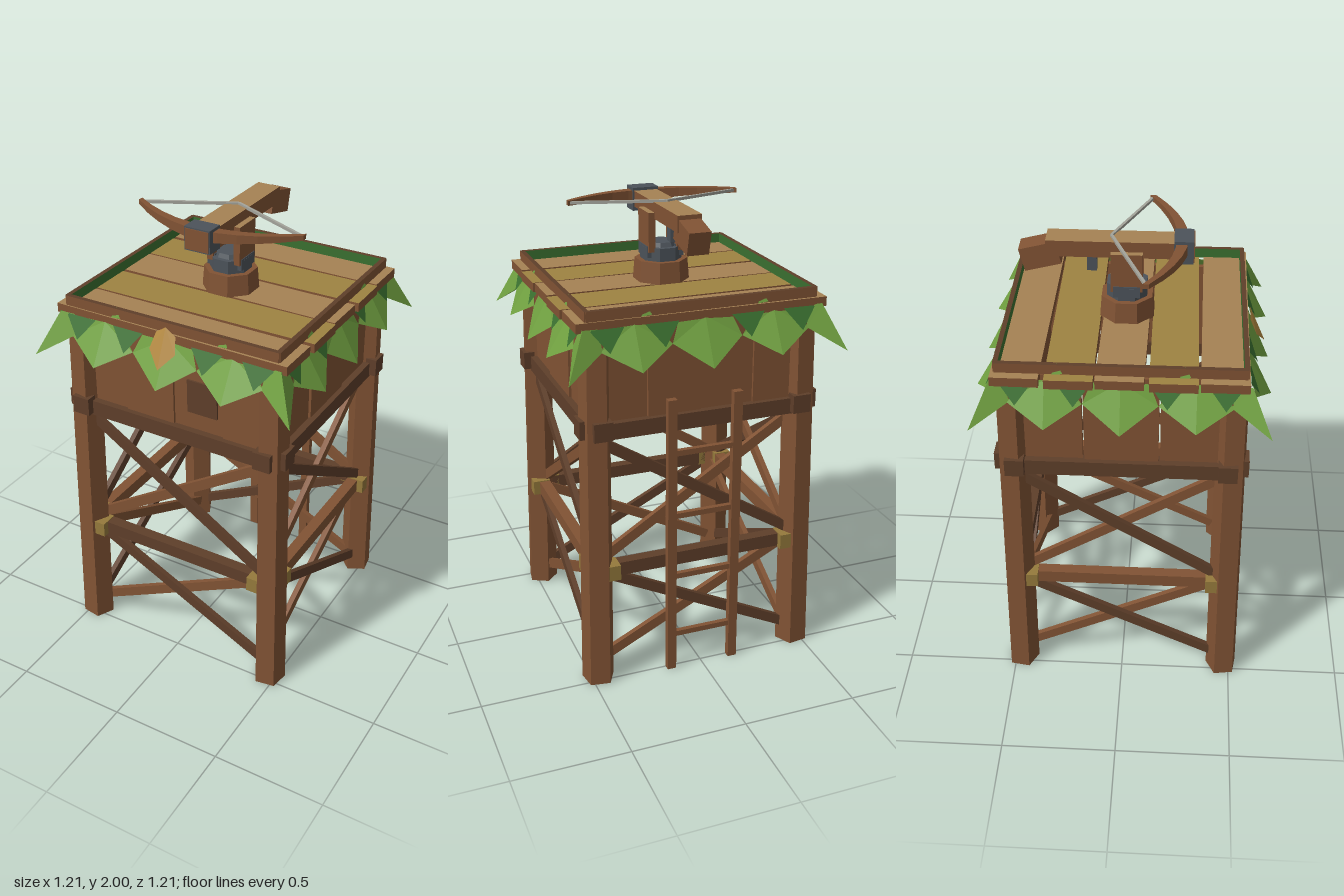
import * as THREE from 'three';

const paint = (name, color, side = THREE.FrontSide) => {
  const m = new THREE.MeshStandardMaterial({ color, flatShading: true, side });
  m.name = name;
  return m;
};
const wood = paint('brown wood', 0x815334);
const dark = paint('dark wood', 0x5f3f2a);
const tan = paint('tan plank', 0xa68254);
const gold = paint('golden plank', 0x9e8342);
const metal = paint('dark metal', 0x4c535a);
const rope = paint('rope', 0x957a3c);
const cord = paint('bow string', 0xa3a39a);
const green = paint('leaf green', 0x70a040, THREE.DoubleSide);
const deep = paint('deep green', 0x3a7030, THREE.DoubleSide);
const amber = paint('amber leaf', 0xb28840, THREE.DoubleSide);

function add(parent, name, geo, mat, x = 0, y = 0, z = 0) {
  const m = new THREE.Mesh(geo, mat);
  m.name = name;
  m.position.set(x, y, z);
  parent.add(m);
  return m;
}
const box = (parent, name, mat, w, h, d, x, y, z) =>
  add(parent, name, new THREE.BoxGeometry(w, h, d), mat, x, y, z);

// Board with a different colour on its upper face
const topped = (top) => [wood, wood, top, wood, wood, wood];

// Square bar running between two points
function bar(parent, name, mat, a, b, w, h) {
  const p = new THREE.Vector3(...a), q = new THREE.Vector3(...b);
  const m = new THREE.Mesh(new THREE.BoxGeometry(w, h, p.distanceTo(q)), mat);
  m.name = name;
  m.position.copy(p).add(q).multiplyScalar(0.5);
  m.lookAt(q); // aimed before it joins its rotated parent
  parent.add(m);
}

// Faceted sheet from a list of corner points, three per triangle
function sheet(parent, name, mat, pts) {
  const g = new THREE.BufferGeometry();
  g.setAttribute('position', new THREE.Float32BufferAttribute(pts.flat(), 3));
  g.computeVertexNormals();
  add(parent, name, g, mat);
}

// Folded leaf: a central ridge with a shoulder and a side corner on each half
function leaf(parent, name, mat, top, tip, left, right) {
  const pts = [];
  for (const [shoulder, side] of [left, right]) pts.push(top, shoulder, side, top, side, tip);
  sheet(parent, name, mat, pts);
}

// Five-sided leg with one edge on the outer diagonal, leaning slightly inwards
function leg(parent, sx, sz) {
  const g = new THREE.CylinderGeometry(0.067, 0.073, 1.6, 5);
  g.rotateY(Math.atan2(sx, sz)).translate(0, 0.8, 0);
  const p = g.attributes.position;
  for (let i = 0; i < p.count; i++) {
    const lean = 0.468 - 0.02 * p.getY(i) / 1.6;
    p.setX(i, p.getX(i) + sx * lean);
    p.setZ(i, p.getZ(i) + sz * lean);
  }
  g.computeVertexNormals();
  add(parent, 'leg', g, wood);
}

// One side of the tower, built facing +z
function towerSide(k) {
  const s = new THREE.Group();
  s.name = 'towerSide';
  s.rotation.y = k * Math.PI / 2;
  const even = k % 2 === 0;

  // Beams, corner blocks, rope lashings and crossed braces
  const midY = even ? 0.53 : 0.54;
  box(s, 'upperBeam', dark, 0.98, 0.07, 0.06, 0, 1.172, 0.465);
  box(s, 'middleBeam', even ? dark : wood, 0.86, 0.06, 0.05, 0, midY, 0.46);
  for (const x of [-0.44, 0.44]) box(s, 'cornerBlock', dark, 0.08, 0.08, 0.05, x, 1.187, 0.502);
  for (const x of [-0.405, 0.405]) box(s, 'lashing', rope, 0.065, 0.068, 0.08, x, midY, 0.475);
  for (const [y0, y1] of [[0.09, 0.51], [0.58, 1.11]]) {
    bar(s, 'brace', wood, [-0.42, y0, 0.437], [0.42, y1, 0.437], 0.024, 0.045);
    bar(s, 'brace', dark, [-0.42, y1, 0.463], [0.42, y0, 0.463], 0.024, 0.045);
  }

  // Cabin wall boards
  const n = even ? 4 : 3, pitch = even ? 0.233 : 0.312;
  for (let i = 0; i < n; i++) {
    box(s, 'wallBoard', wood, pitch - (even ? 0.002 : 0.007), 0.42, 0.025,
      (i - (n - 1) / 2) * pitch, 1.405, 0.452 + (i % 2) * 0.008);
  }

  // Leaf fringe
  for (const x of [-0.3, 0, 0.3]) {
    const w = x ? 0.075 : 0.115;
    leaf(s, 'fringeLeaf', green, [x, 1.62, 0.505], [x, x ? 1.45 : 1.43, 0.605],
      [[x - w, 1.615, 0.505], [x - 0.15, 1.53, 0.533]], [[x + w, 1.615, 0.505], [x + 0.15, 1.53, 0.533]]);
  }
  leaf(s, 'cornerLeaf', green, [0.515, 1.62, 0.515], [0.6, 1.43, 0.6],
    [[0.45, 1.615, 0.505], [0.44, 1.53, 0.533]], [[0.505, 1.615, 0.45], [0.533, 1.53, 0.44]]);
  for (const x of [-0.415, -0.185, 0.185, 0.415]) {
    sheet(s, 'underLeaf', deep, [[x - 0.072, 1.615, 0.51], [x, 1.525, 0.55], [x + 0.072, 1.615, 0.51]]);
  }
  // Sprigs poking over the rail
  for (const x of [-0.25, 0.25]) {
    sheet(s, 'sprig', green, [[x - 0.02, 1.645, 0.502], [x + 0.025, 1.65, 0.505], [x, 1.69, 0.49]]);
  }
  // Rail around the deck, mossy on the inside
  box(s, 'rail', [wood, wood, dark, wood, wood, deep], 0.99, 0.045, 0.02, 0, 1.665, 0.49);
  return s;
}

// Plank deck with alternating colours
function deck() {
  const g = new THREE.Group();
  g.name = 'deck';
  [-0.412, -0.205, 0, 0.205, 0.412].forEach((z, i) => {
    const b = box(g, 'deckPlank', topped(i % 2 ? gold : tan), i % 2 ? 1.09 : 1.075, 0.04, 0.192, 0, 1.625, z);
    b.rotation.y = (i % 2 ? 1 : -1) * 0.006;
  });
  return g;
}

// Ladder on the back
function ladder() {
  const g = new THREE.Group();
  g.name = 'ladder';
  for (const x of [-0.145, 0.145]) box(g, 'ladderRail', wood, 0.04, 1.285, 0.03, x, 0.6425, -0.512);
  for (let i = 0; i < 4; i++) box(g, 'rung', wood, 0.27, 0.024, 0.022, 0, 0.175 + i * 0.29, -0.512);
  return g;
}

// Swivelling crossbow
function crossbow() {
  const g = new THREE.Group();
  g.name = 'crossbow';
  const drum = (name, mat, r0, r1, h, y) =>
    add(g, name, new THREE.CylinderGeometry(r1, r0, h, 8).rotateY(Math.PI / 8), mat, 0, y, 0);
  drum('base', wood, 0.122, 0.114, 0.095, 1.688);
  drum('swivel', metal, 0.09, 0.09, 0.06, 1.762);
  drum('swivelCap', metal, 0.07, 0.06, 0.02, 1.8);
  for (const x of [-0.064, 0.064]) {
    box(g, 'forkPost', topped(tan), 0.03, 0.17, 0.13, x, 1.86, 0);
    box(g, 'forkFoot', metal, 0.036, 0.05, 0.11, x, 1.775, 0);
  }

  // Stock, grip, trigger and front sleeve
  box(g, 'stock', topped(tan), 0.105, 0.07, 0.53, 0, 1.953, -0.065);
  const grip = box(g, 'grip', wood, 0.095, 0.1, 0.155, 0, 1.912, -0.355);
  grip.rotation.x = -0.25;
  box(g, 'trigger', metal, 0.04, 0.08, 0.04, 0, 1.88, -0.145);
  box(g, 'sleeve', metal, 0.118, 0.1, 0.08, 0, 1.95, 0.23);
  box(g, 'stockEnd', wood, 0.108, 0.088, 0.006, 0, 1.95, 0.271);

  // Bow limbs: a box bent backwards and tapered to the tips
  const bow = new THREE.BoxGeometry(0.77, 0.05, 0.05, 10, 1, 1);
  const p = bow.attributes.position;
  for (let i = 0; i < p.count; i++) {
    const t = Math.abs(p.getX(i)) / 0.385;
    p.setY(i, p.getY(i) * (1 - 0.6 * t) + 1.962 + 0.018 * t);
    p.setZ(i, p.getZ(i) * (1 - 0.5 * t) + 0.225 - 0.135 * t * t);
  }
  bow.computeVertexNormals();
  add(g, 'bow', bow, wood);
  for (const s of [-1, 1]) bar(g, 'string', cord, [s * 0.375, 1.98, 0.09], [0, 1.991, -0.065], 0.012, 0.012);
  return g;
}

export function createModel() {
  const model = new THREE.Group();
  model.name = 'watchtower';
  for (const sx of [-1, 1]) for (const sz of [-1, 1]) leg(model, sx, sz);
  for (let k = 0; k < 4; k++) model.add(towerSide(k));
  model.add(deck(), ladder(), crossbow());

  // Front hatch and the single amber leaf
  box(model, 'hatch', dark, 0.14, 0.15, 0.008, 0.14, 1.365, 0.475);
  leaf(model, 'amberLeaf', amber, [0, 1.675, 0.515], [0, 1.515, 0.585],
    [[-0.045, 1.645, 0.515], [-0.06, 1.58, 0.545]], [[0.045, 1.645, 0.515], [0.06, 1.58, 0.545]]);
  return model;
}
